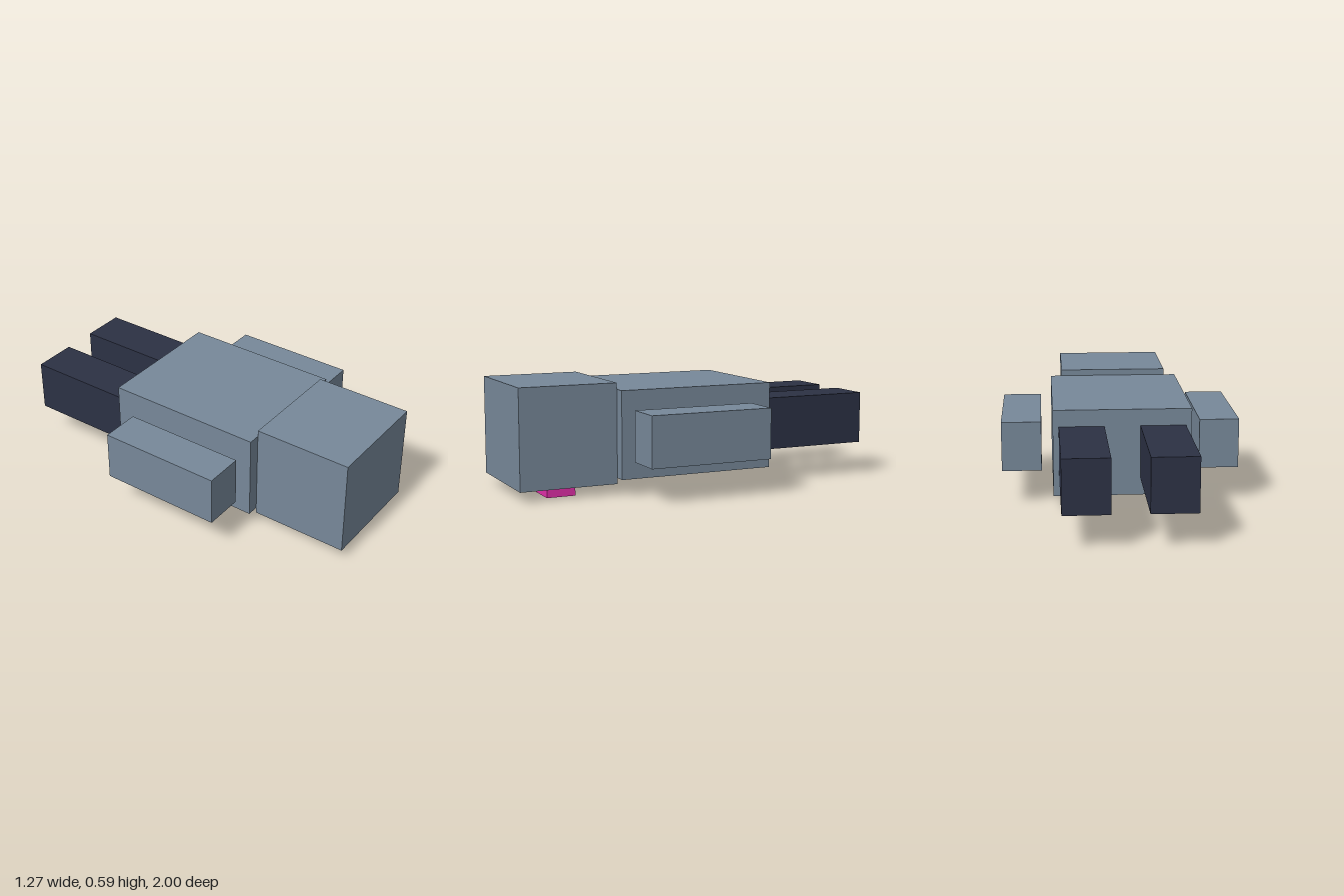
import * as THREE from 'three';

const SLATE = 0x778899;
const NAVY = 0x2c3144;
const PINK = 0xe030a8;

// Box given by its [min, max] extent along each axis
function block(name, color, [x0, x1], [y0, y1], [z0, z1]) {
  const mesh = new THREE.Mesh(
    new THREE.BoxGeometry(x1 - x0, y1 - y0, z1 - z0),
    new THREE.MeshStandardMaterial({ color, flatShading: true })
  );
  mesh.position.set((x0 + x1) / 2, (y0 + y1) / 2, (z0 + z1) / 2);
  mesh.name = name;
  return mesh;
}

export function createModel() {
  const model = new THREE.Group();
  model.name = 'lyingBlockFigure';

  // Face-down figure: head toward the front, visor on its underside
  model.add(
    block('head', SLATE, [-0.3, 0.3], [0.056, 0.586], [0.472, 1]),
    block('visor', PINK, [-0.23, 0.23], [0, 0.06], [0.68, 0.835]),
    block('torso', SLATE, [-0.364, 0.364], [0.088, 0.552], [-0.395, 0.472])
  );

  // Mirrored limbs, arms floating clear of the torso
  for (const [side, s] of [['left', 1], ['right', -1]]) {
    const span = (a, b) => (s > 0 ? [a, b] : [-b, -a]);
    model.add(
      block(side + 'Arm', SLATE, span(0.424, 0.637), [0.187, 0.455], [-0.25, 0.425]),
      block(side + 'Leg', NAVY, span(0.094, 0.333), [0.18, 0.463], [-1, -0.395])
    );
  }
  return model;
}
